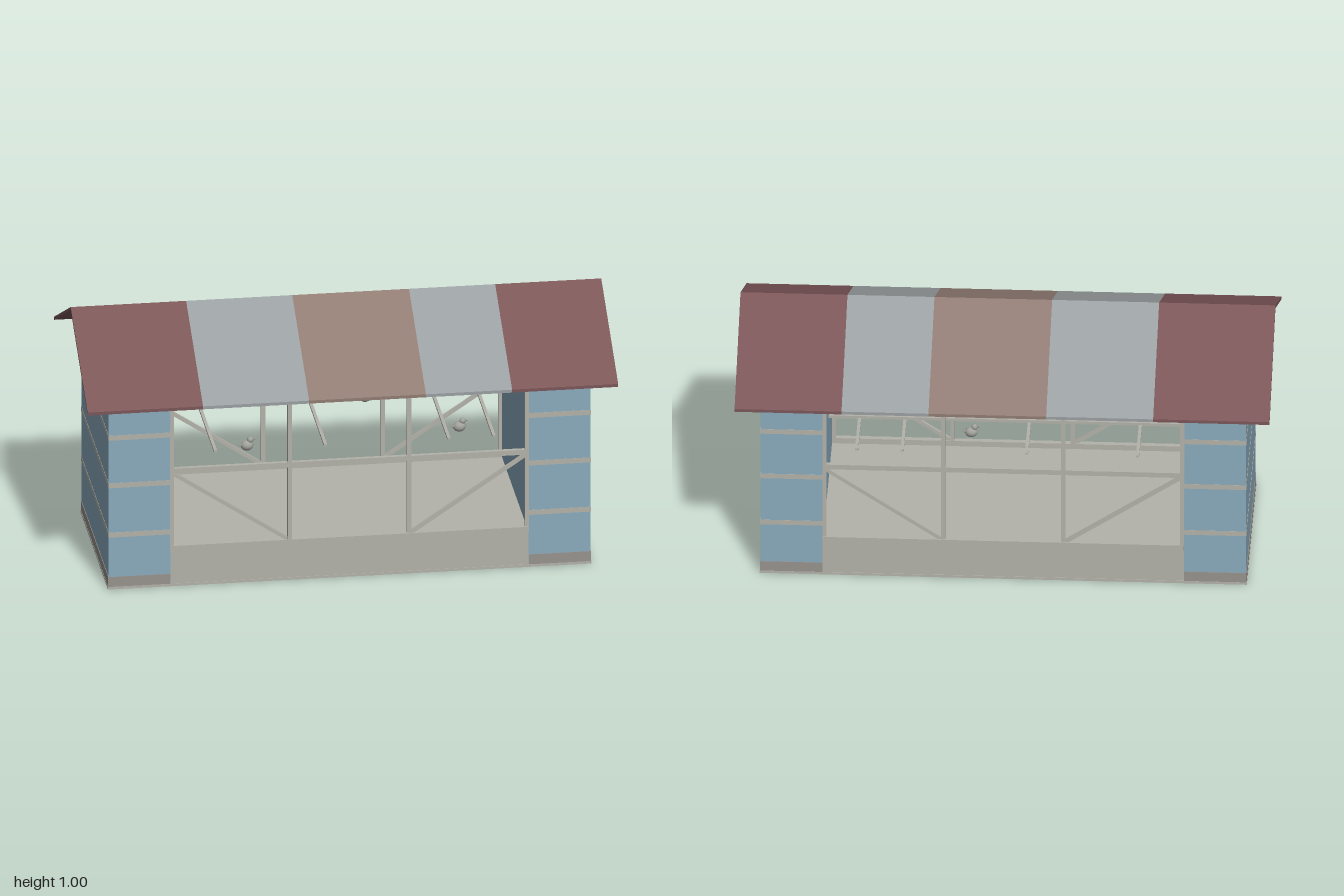
import * as THREE from 'three';

const mat = (name, color) => {
  const m = new THREE.MeshStandardMaterial({ color });
  m.name = name;
  return m;
};

export function createModel() {
  const model = new THREE.Group();
  model.name = 'openAviary';
  const blue = mat('blueWall', 0x8aabbd);
  const stone = mat('paleStone', 0xb3b3aa);
  const baseGrey = mat('baseGrey', 0x97938e);
  const maroon = mat('roofMaroon', 0x7c5759);
  const roofGrey = mat('roofGrey', 0x9ba0a2);
  const tan = mat('roofTan', 0x917d74);
  const feather = mat('featherGrey', 0xa3a39d);

  const add = (parent, name, geo, material, x = 0, y = 0, z = 0) => {
    const m = new THREE.Mesh(geo, material);
    m.name = name;
    m.position.set(x, y, z);
    parent.add(m);
    return m;
  };
  const box = (name, w, h, d, material, x, y, z, parent = model) =>
    add(parent, name, new THREE.BoxGeometry(w, h, d), material, x, y, z);

  // Extrudes a profile of [z, y] points along x from x0 to x1
  const alongX = (name, pts, x0, x1, material) => {
    const shape = new THREE.Shape(pts.map(([z, y]) => new THREE.Vector2(-z, y)));
    const geo = new THREE.ExtrudeGeometry(shape, { depth: x1 - x0, bevelEnabled: false });
    geo.rotateY(Math.PI / 2);
    return add(model, name, geo, material, x0, 0, 0);
  };

  // Floor slab and raised plinth between the end rooms
  box('floorSlab', 1.822, 0.01, 0.744, stone, 0, 0.005, 0);
  box('plinth', 1.35, 0.14, 0.74, stone, 0, 0.07, 0);

  // Gabled end rooms with base course and flush trim bands
  const gable = [[0.37, 0.01], [0.37, 0.797], [0, 0.982], [-0.37, 0.797], [-0.37, 0.01]];
  for (const s of [-1, 1]) {
    alongX('endRoom', gable, s < 0 ? -0.908 : 0.675, s < 0 ? -0.675 : 0.908, blue);
    box('baseCourse', 0.234, 0.04, 0.743, baseGrey, s * 0.793, 0.03, 0);
    for (const y of [0.22, 0.42, 0.613]) {
      box('trimBand', 0.233, 0.02, 0.742, stone, s * 0.7925, y, 0);
    }
  }

  // Striped roof: one folded sheet per colour
  const chevron = [[0.462, 0.749], [0.462, 0.761], [0, 0.995], [-0.462, 0.761], [-0.462, 0.749], [0, 0.983]];
  const edges = [-1, -0.565, -0.165, 0.275, 0.6, 1];
  [maroon, roofGrey, tan, roofGrey, maroon].forEach((m, i) =>
    alongX('roofStripe', chevron, edges[i], edges[i + 1], m));

  // Timber frame on both long sides
  const diagonal = new THREE.Vector2(0.44, 0.295);
  for (const side of [-1, 1]) {
    const z = side * 0.362;
    for (const x of [-0.669, -0.225, 0.225, 0.669]) {
      box('post', 0.016, 0.65, 0.016, stone, x, 0.465, z);
    }
    box('sillRail', 1.35, 0.022, 0.02, stone, 0, 0.152, side * 0.363);
    box('middleRail', 1.35, 0.02, 0.016, stone, 0, 0.465, z);
    box('topPlate', 1.35, 0.02, 0.016, stone, 0, 0.785, z);
    for (const s of [-1, 1]) {
      const brace = box('diagonalBrace', diagonal.length(), 0.014, 0.012, stone, s * 0.448, 0.308, z);
      brace.rotation.z = s * diagonal.angle();
    }
  }

  // Long perches along the room and thin cross perches
  box('longPerch', 1.33, 0.012, 0.012, stone, 0, 0.613, -0.2);
  box('longPerch', 1.33, 0.012, 0.012, stone, 0, 0.527, -0.1);
  for (const x of [-0.5, -0.085, 0.38, 0.55]) {
    box('crossPerch', 0.012, 0.008, 0.66, stone, x, 0.52, 0);
  }

  // Small birds: x, y, z, facing direction along x
  const birds = [
    [-0.37, 0.503, 0.25, 1], [-0.095, 0.578, -0.1, 1], [-0.035, 0.578, -0.1, -1],
    [0.13, 0.503, -0.15, -1], [0.44, 0.503, 0.18, 1], [0.585, 0.58, -0.1, -1],
  ];
  for (const [x, y, z, dir] of birds) {
    const bird = new THREE.Group();
    bird.name = 'bird';
    bird.position.set(x, y, z);
    bird.rotation.y = dir > 0 ? 0 : Math.PI;
    add(bird, 'body', new THREE.SphereGeometry(0.021, 12, 8), feather).scale.set(1.15, 0.95, 0.95);
    add(bird, 'head', new THREE.SphereGeometry(0.012, 10, 8), feather, 0.012, 0.022, 0);
    const beak = add(bird, 'beak', new THREE.ConeGeometry(0.004, 0.012, 6), baseGrey, 0.027, 0.022, 0);
    beak.rotation.z = -Math.PI / 2;
    const tail = add(bird, 'tail', new THREE.ConeGeometry(0.01, 0.026, 6), feather, -0.027, 0.003, 0);
    tail.rotation.z = Math.PI / 2;
    model.add(bird);
  }
  return model;
}
